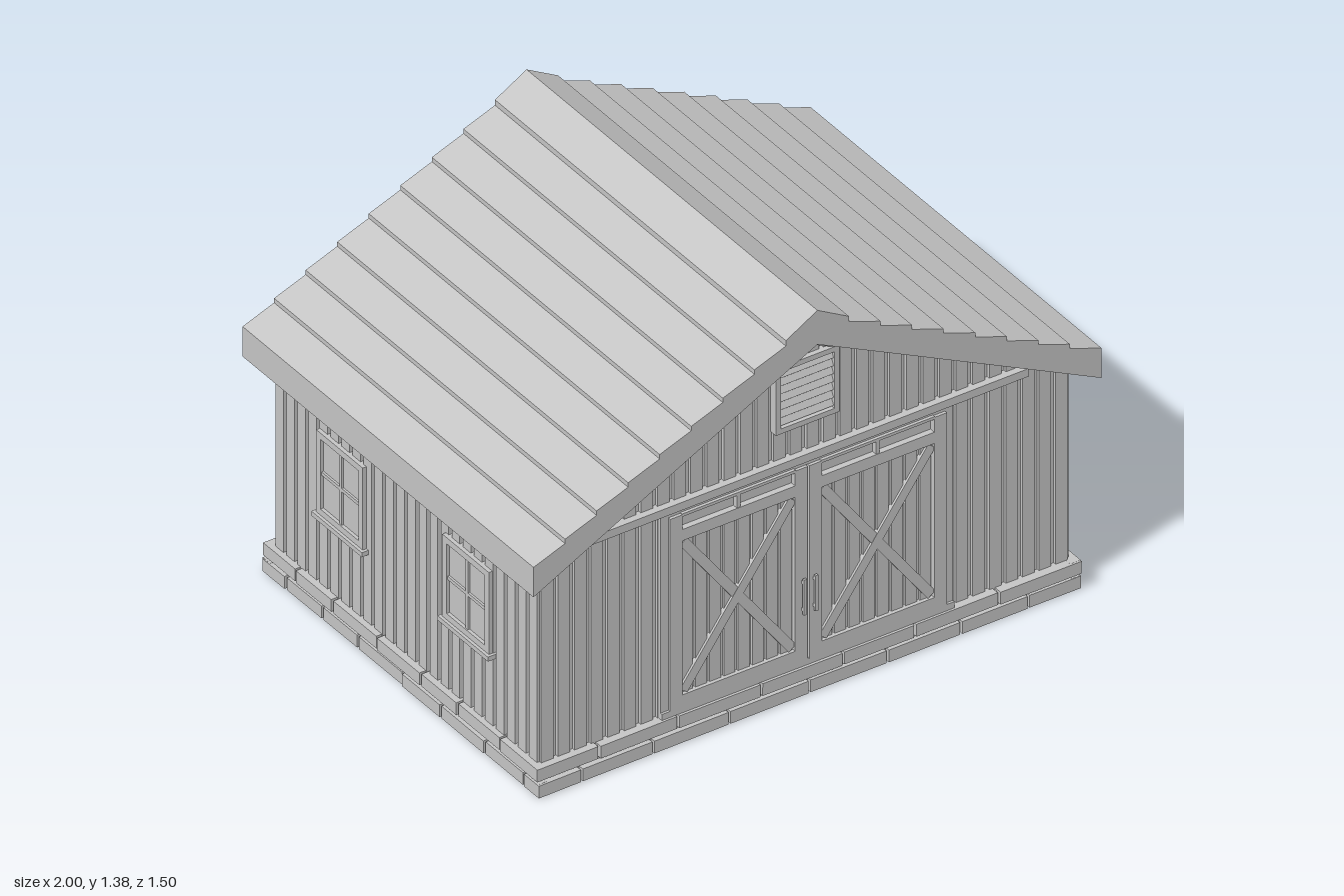
import * as THREE from 'three';

const grey = new THREE.MeshStandardMaterial({ color: 0xc4c4c4 });
grey.name = 'barn grey';

const HALF_X = 0.925, HALF_Z = 0.672;       // wall core
const soffit = (x) => 1.255 - 0.505 * Math.abs(x);

let seed = 7;
const rand = () => (seed = (seed * 16807) % 2147483647) / 2147483647;

function add(parent, name, geometry) {
  const mesh = new THREE.Mesh(geometry, grey);
  mesh.name = name;
  parent.add(mesh);
  return mesh;
}

// Box given by its limits
function box(parent, name, x0, x1, y0, y1, z0, z1) {
  const mesh = add(parent, name, new THREE.BoxGeometry(x1 - x0, y1 - y0, z1 - z0));
  mesh.position.set((x0 + x1) / 2, (y0 + y1) / 2, (z0 + z1) / 2);
  return mesh;
}

// Flat board running between two points
function brace(parent, name, x0, y0, x1, y1, width, z0, z1) {
  const mesh = add(parent, name, new THREE.BoxGeometry(Math.hypot(x1 - x0, y1 - y0), width, z1 - z0));
  mesh.position.set((x0 + x1) / 2, (y0 + y1) / 2, (z0 + z1) / 2);
  mesh.rotation.z = Math.atan2(y1 - y0, x1 - x0);
}

function group(parent, name, x = 0, y = 0, z = 0) {
  const g = new THREE.Group();
  g.name = name;
  g.position.set(x, y, z);
  parent.add(g);
  return g;
}

function extrude(points, depth) {
  const shape = new THREE.Shape(points.map(([x, y]) => new THREE.Vector2(x, y)));
  return new THREE.ExtrudeGeometry(shape, { depth, bevelEnabled: false }).translate(0, 0, -depth / 2);
}

// Rectangular frame of four boards
function frame(parent, name, x0, x1, y0, y1, w, z0, z1) {
  box(parent, name, x0, x0 + w, y0, y1, z0, z1);
  box(parent, name, x1 - w, x1, y0, y1, z0, z1);
  box(parent, name, x0 + w, x1 - w, y0, y0 + w, z0, z1);
  box(parent, name, x0 + w, x1 - w, y1 - w, y1, z0, z1);
}

// Vertical cladding; the tops end inside the roof
function cladding(wall, half, gable) {
  const count = Math.round(2 * half / 0.058), pitch = 2 * half / count;
  for (let i = 0; i < count; i++) {
    const x = -half + (i + 0.5) * pitch;
    box(wall, 'wallBoard', x - pitch / 2 + 0.008, x + pitch / 2 - 0.008,
      0.09, gable ? soffit(x) + 0.03 : 0.81, -0.005, 0.011);
  }
}

function windowUnit(wall, x) {
  const g = group(wall, 'window', x, 0, 0);
  box(g, 'windowPane', -0.115, 0.115, 0.36, 0.64, 0, 0.013);
  frame(g, 'windowFrame', -0.12, 0.12, 0.355, 0.645, 0.022, 0, 0.024);
  box(g, 'mullion', -0.006, 0.006, 0.375, 0.625, 0.01, 0.02);
  box(g, 'mullion', -0.1, 0.1, 0.495, 0.507, 0.01, 0.02);
  box(g, 'windowSill', -0.13, 0.13, 0.34, 0.356, 0, 0.034);
}

// Gable vent with sloping louvres under a small pointed cap
function vent(wall) {
  const g = group(wall, 'gableVent');
  box(g, 'ventBack', -0.1, 0.1, 0.955, 1.17, 0, 0.012);
  frame(g, 'ventFrame', -0.112, 0.112, 0.947, 1.182, 0.018, 0, 0.028);
  for (let i = 0; i < 7; i++) {
    const slat = box(g, 'ventLouvre', -0.095, 0.095, 0.97 + i * 0.028, 0.992 + i * 0.028, 0.013, 0.019);
    slat.rotation.x = -0.45;
  }
  for (const s of [-1, 1]) brace(g, 'ventCap', 0, 1.235, s * 0.11, 1.18, 0.016, 0, 0.024);
}

// One leaf of the sliding front door
function barnDoor(wall, side) {
  const g = group(wall, 'frontDoor', side * 0.245, 0, 0);
  box(g, 'doorBack', -0.24, 0.24, 0.115, 0.8, 0, 0.012);
  for (let i = 0; i < 8; i++) {
    const x = -0.2 + i * 0.05;
    box(g, 'doorBoard', x + 0.005, x + 0.045, 0.16, 0.715, 0.01, 0.02);
  }
  for (const s of [-1, 1]) box(g, 'doorStile', s * 0.22 - 0.022, s * 0.22 + 0.022, 0.12, 0.8, 0.01, 0.032);
  box(g, 'doorRail', -0.2, 0.2, 0.12, 0.165, 0.01, 0.032);
  box(g, 'doorRail', -0.2, 0.2, 0.708, 0.748, 0.01, 0.032);
  box(g, 'doorRail', -0.2, 0.2, 0.793, 0.803, 0.01, 0.032);
  box(g, 'doorDivider', -0.006, 0.006, 0.745, 0.795, 0.01, 0.03);
  brace(g, 'doorBrace', -0.192, 0.175, 0.192, 0.7, 0.032, 0.012, 0.028);
  brace(g, 'doorBrace', -0.192, 0.7, 0.192, 0.175, 0.032, 0.012, 0.027);
  const x = -side * 0.225;
  box(g, 'doorHandle', x - 0.005, x + 0.005, 0.29, 0.415, 0.038, 0.046);
  for (const y of [0.3, 0.395]) box(g, 'handleMount', x - 0.004, x + 0.004, y, y + 0.01, 0.03, 0.04);
}

function backDoor(wall) {
  const g = group(wall, 'backDoor');
  box(g, 'doorBack', -0.12, 0.12, 0.1, 0.655, 0, 0.012);
  for (let i = 0; i < 4; i++) {
    const x = -0.1 + i * 0.05;
    box(g, 'doorBoard', x + 0.005, x + 0.045, 0.13, 0.64, 0.01, 0.016);
  }
  frame(g, 'doorFrame', -0.125, 0.125, 0.1, 0.655, 0.03, 0, 0.024);
  brace(g, 'doorBrace', -0.092, 0.135, 0.092, 0.62, 0.026, 0.012, 0.023);
  brace(g, 'doorBrace', -0.092, 0.62, 0.092, 0.135, 0.026, 0.012, 0.022);
  box(g, 'doorHeader', -0.15, 0.15, 0.65, 0.7, 0, 0.03);
  box(g, 'doorHandle', 0.105, 0.114, 0.26, 0.36, 0.028, 0.036);
  for (const y of [0.27, 0.34]) box(g, 'handleMount', 0.106, 0.113, y, y + 0.01, 0.02, 0.03);
}

// Two staggered courses of slightly uneven stone blocks along a wall foot
function stones(parent, half, out, pitch, angle) {
  const side = group(parent, 'foundationSide');
  side.rotation.y = angle;
  for (let row = 0; row < 2; row++) {
    let x = -half;
    let next = x + pitch * (row ? 0.85 : 0.6);
    while (x < half - 0.01) {
      if (next > half - 0.07) next = half;
      const y = row * 0.054;
      const stone = box(side, 'foundationStone', x + 0.004, next - 0.004, y + 0.003, y + 0.046,
        out - 0.04, out - rand() * 0.006);
      stone.rotation.z = (rand() - 0.5) * 0.015;
      x = next;
      next = x + pitch * (0.9 + rand() * 0.25);
    }
  }
}

export function createModel() {
  const barn = new THREE.Group();
  barn.name = 'barn';

  // Wall core
  add(barn, 'wallCore', extrude([[-HALF_X, 0.05], [HALF_X, 0.05], [HALF_X, 0.82],
    [0, 1.28], [-HALF_X, 0.82]], 2 * HALF_Z));

  // Foundation
  box(barn, 'foundationCore', -0.942, 0.942, 0, 0.094, -0.692, 0.692);
  for (const a of [0, Math.PI]) {
    stones(barn, 0.96, 0.713, 0.26, a);
    stones(barn, 0.71, 0.96, 0.2, a + Math.PI / 2);
  }

  // Roof with overlapping courses, ridge in the middle
  const step = 1 / 9, slope = [[0, 1.375], [step, 1.311]];
  for (let i = 1; i < 9; i++) {
    const y = 1.292 - (i - 1) * 0.0565;
    slope.push([i * step, y], [(i + 1) * step, y - 0.041]);
  }
  slope.push([1, 0.75]);
  const mirrored = slope.slice(1).reverse().map(([x, y]) => [-x, y]);
  add(barn, 'roof', extrude([...mirrored, ...slope, [0, 1.255]], 1.5));

  // Four walls, each laid out facing +z and then turned
  const walls = ['frontWall', 'rightWall', 'backWall', 'leftWall'].map((name, i) => {
    const turn = group(barn, name);
    turn.rotation.y = i * Math.PI / 2;
    const wall = group(turn, name + 'Face', 0, 0, i % 2 ? HALF_X : HALF_Z);
    cladding(wall, i % 2 ? HALF_Z + 0.01 : HALF_X + 0.01, i % 2 === 0);
    return wall;
  });
  const [front, right, back, left] = walls;

  // Front: double door, track beam and vent
  for (const s of [-1, 1]) {
    barnDoor(front, s);
    box(front, 'doorJamb', s * 0.5 - 0.015, s * 0.5 + 0.015, 0.1, 0.82, 0, 0.022);
  }
  box(front, 'doorThreshold', -0.515, 0.515, 0.1, 0.122, 0, 0.03);
  box(front, 'doorHeader', -0.515, 0.515, 0.8, 0.82, 0, 0.022);
  box(front, 'trackBeam', -0.775, 0.775, 0.818, 0.846, 0, 0.034);
  vent(front);

  // Back: single door, two windows and vent
  backDoor(back);
  vent(back);
  for (const s of [-1, 1]) windowUnit(back, s * 0.56);

  // Sides: two windows each
  for (const wall of [right, left]) for (const s of [-1, 1]) windowUnit(wall, s * 0.325);

  return barn;
}
